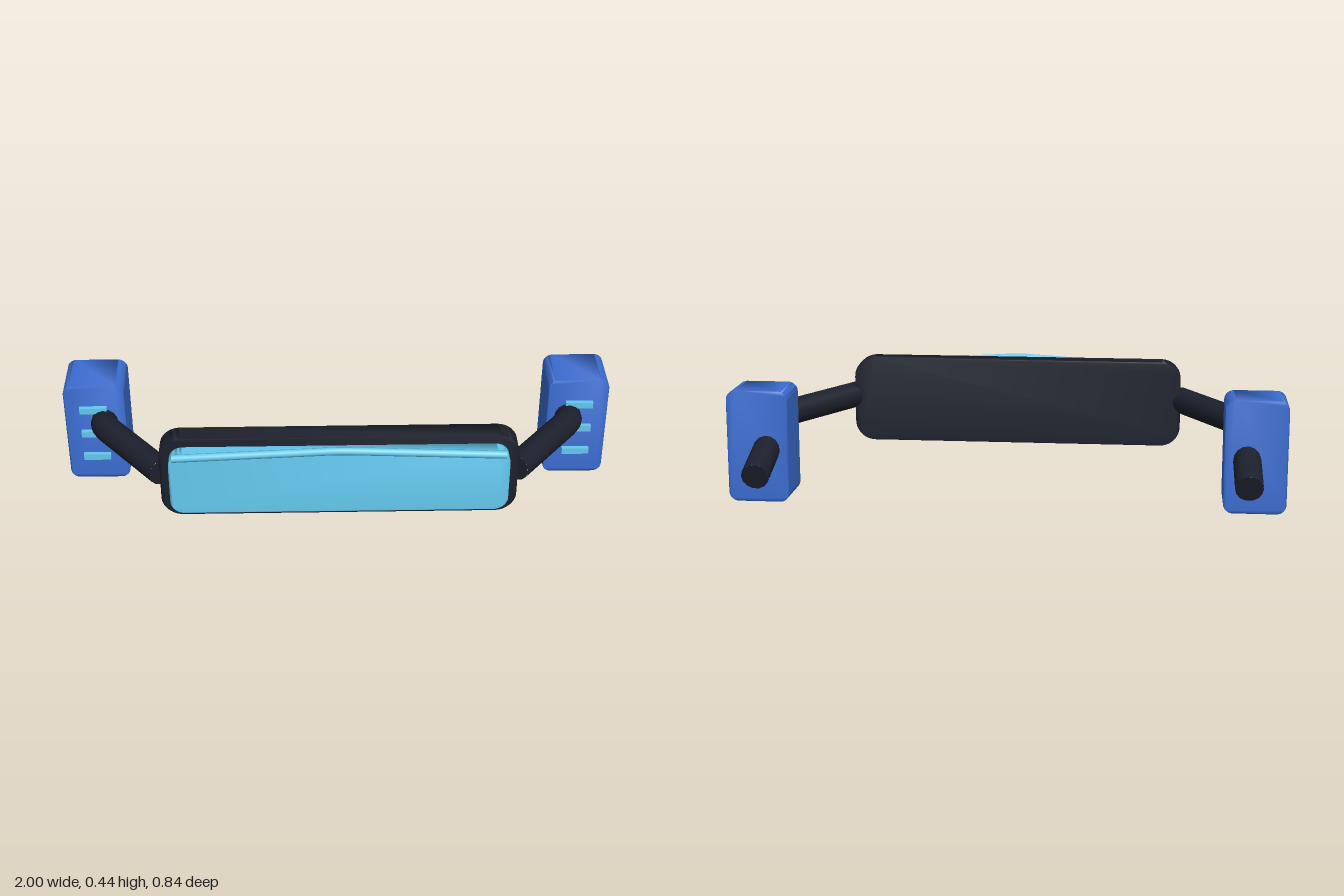
import * as THREE from 'three';
import { mergeVertices } from 'three/addons/utils/BufferGeometryUtils.js';

const mats = {
  dark: new THREE.MeshStandardMaterial({ color: 0x1c202c }),
  blue: new THREE.MeshStandardMaterial({ color: 0x3a6cd0 }),
  cyan: new THREE.MeshStandardMaterial({ color: 0x64c8ee }),
};

function mesh(name, geometry, material) {
  const m = new THREE.Mesh(geometry, material);
  m.name = name;
  return m;
}

// Rounded rectangle extruded along z, with normals smoothed over all edges
function slab(x0, x1, y0, y1, z0, z1, r) {
  const s = new THREE.Shape();
  s.moveTo(x0 + r, y0);
  s.lineTo(x1 - r, y0);
  s.absarc(x1 - r, y0 + r, r, -Math.PI / 2, 0);
  s.lineTo(x1, y1 - r);
  s.absarc(x1 - r, y1 - r, r, 0, Math.PI / 2);
  s.lineTo(x0 + r, y1);
  s.absarc(x0 + r, y1 - r, r, Math.PI / 2, Math.PI);
  s.lineTo(x0, y0 + r);
  s.absarc(x0 + r, y0 + r, r, Math.PI, Math.PI * 1.5);
  const g = new THREE.ExtrudeGeometry(s, { depth: z1 - z0, bevelEnabled: false, curveSegments: 5 });
  g.translate(0, 0, z0);
  g.deleteAttribute('uv');
  g.deleteAttribute('normal');
  const merged = mergeVertices(g, 1e-4);
  merged.computeVertexNormals();
  return merged;
}

// Capped tube through a, b, c with a short rounded bend at b
function bentTube(name, a, b, c, bend, radius, sides, material) {
  const [A, B, C] = [a, b, c].map((p) => new THREE.Vector3(...p));
  const p = B.clone().add(A.clone().sub(B).setLength(bend));
  const q = B.clone().add(C.clone().sub(B).setLength(bend));
  const path = new THREE.CurvePath();
  path.add(new THREE.LineCurve3(A, p));
  path.add(new THREE.QuadraticBezierCurve3(p, B, q));
  path.add(new THREE.LineCurve3(q, C));
  const group = new THREE.Group();
  group.name = name;
  group.add(mesh(name + 'Body', new THREE.TubeGeometry(path, 32, radius, sides), material));
  for (const [end, inner] of [[A, B], [C, B]]) {
    const cap = mesh(name + 'Cap', new THREE.CircleGeometry(radius, sides), material);
    cap.position.copy(end);
    cap.lookAt(end.clone().multiplyScalar(2).sub(inner));
    group.add(cap);
  }
  return group;
}

export function createModel() {
  const model = new THREE.Group();
  model.name = 'consoleWithHandles';

  // Centre panel: dark backing, light face, ridge along the top
  model.add(mesh('backPlate', slab(-0.625, 0.625, 0.12, 0.443, 0.27, 0.342, 0.075), mats.dark));
  model.add(mesh('facePanel', slab(-0.59, 0.59, 0.163, 0.41, 0.335, 0.392, 0.05), mats.cyan));
  model.add(bentTube('topRidge', [-0.575, 0.398, 0.393], [0, 0.431, 0.405], [0.575, 0.398, 0.393],
    0.04, 0.014, 8, mats.cyan));

  // One arm, grip block and set of ribs on each side
  for (const [side, s] of [['left', 1], ['right', -1]]) {
    const half = new THREE.Group();
    half.name = side + 'Handle';
    half.add(bentTube(side + 'Arm', [s * 0.62, 0.291, 0.32], [s * 0.855, 0.272, 0.005],
      [s * 0.86, 0.136, -0.403], 0.04, 0.049, 14, mats.dark));
    const x = s * 0.889;
    half.add(mesh(side + 'Grip', slab(x - 0.111, x + 0.111, 0, 0.408, -0.232, -0.052, 0.035), mats.blue));
    for (const y of [0.102, 0.204, 0.308]) {
      const rib = mesh(side + 'Rib', new THREE.BoxGeometry(0.1, 0.024, 0.03), mats.cyan);
      rib.position.set(x + s * 0.005, y, -0.05);
      half.add(rib);
    }
    model.add(half);
  }
  return model;
}
